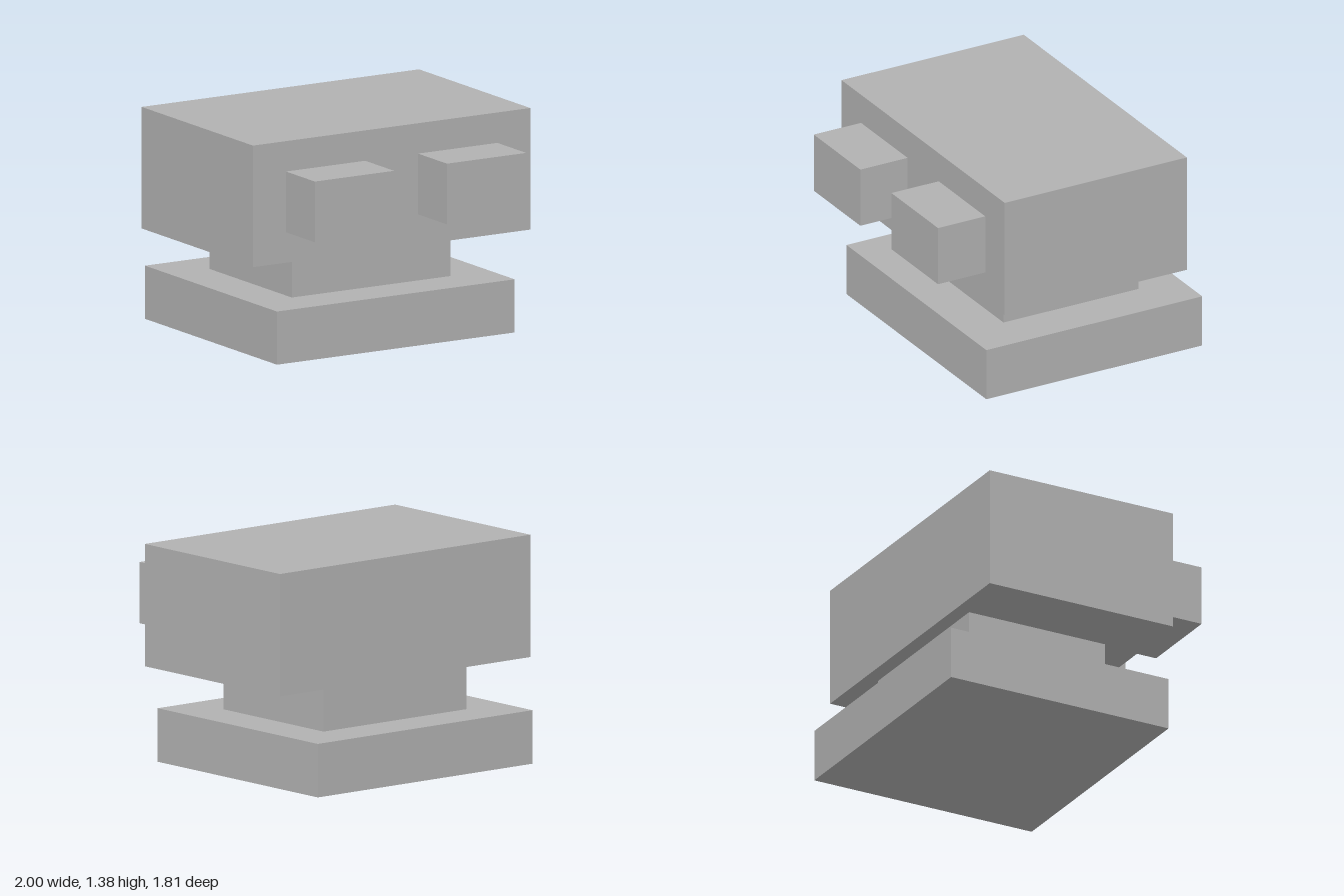
import * as THREE from 'three';

// One grid unit: the head is 42 units wide
const U = 2 / 42;

export function createModel() {
  const model = new THREE.Group();
  model.name = 'robotHead';
  const grey = new THREE.MeshStandardMaterial({ color: 0xb2b2b2 });
  grey.name = 'grey';

  // Box given by its lower and upper bounds in grid units
  function block(name, [x0, x1], [y0, y1], [z0, z1]) {
    const mesh = new THREE.Mesh(
      new THREE.BoxGeometry((x1 - x0) * U, (y1 - y0) * U, (z1 - z0) * U), grey);
    mesh.position.set((x0 + x1) / 2, (y0 + y1) / 2, (z0 + z1) / 2).multiplyScalar(U);
    mesh.name = name;
    model.add(mesh);
  }

  // Stacked body, from the ground up
  block('base', [-18, 18], [0, 7], [-19, 13]);
  block('neck', [-12, 12], [7, 13], [-13, 7]);
  block('head', [-21, 21], [13, 29], [-15, 12]);

  // Protruding eyes
  block('leftEye', [4, 16], [17, 25], [12, 19]);
  block('rightEye', [-16, -4], [17, 25], [12, 19]);

  return model;
}
